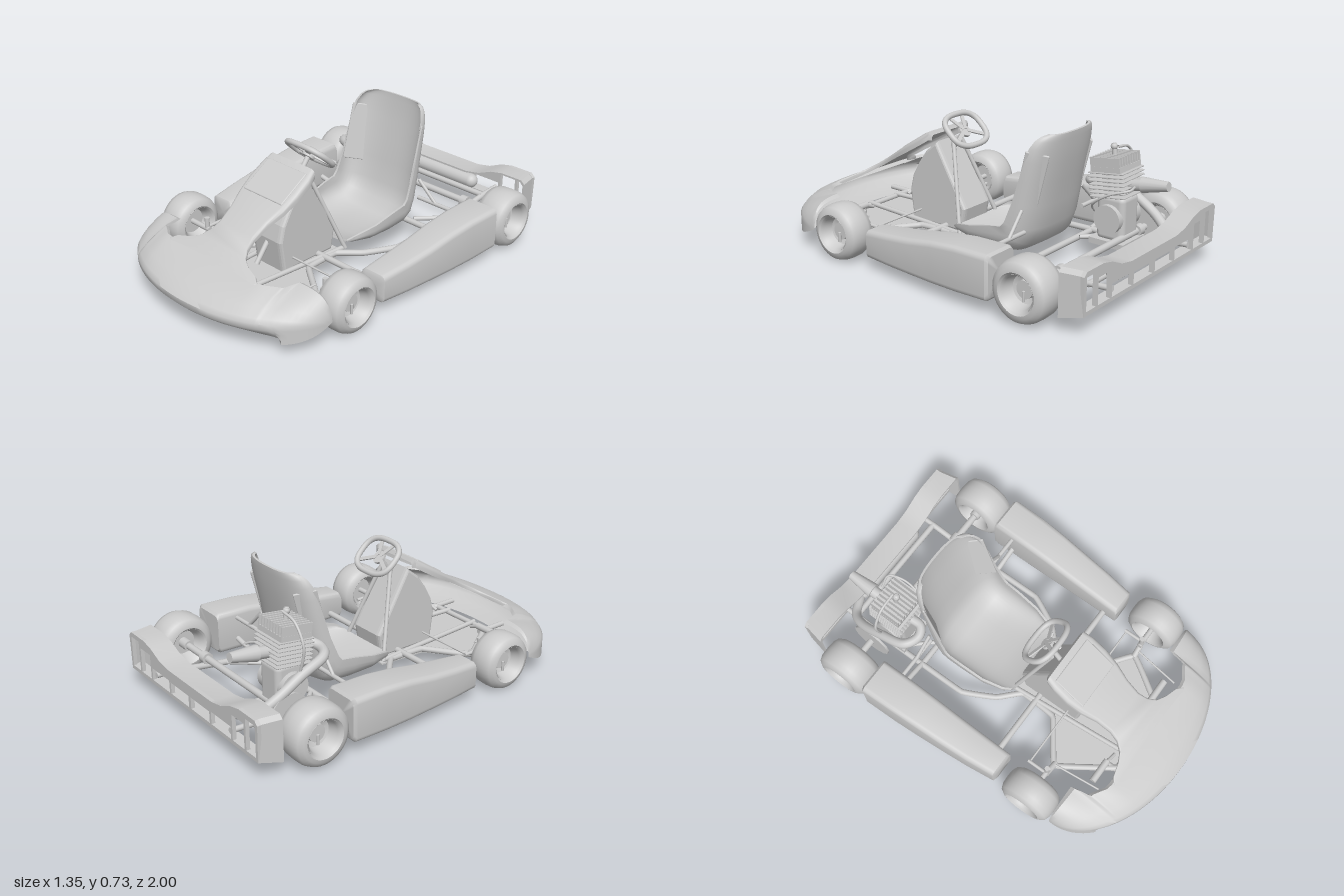
import * as THREE from 'three';
import { toCreasedNormals } from 'three/addons/utils/BufferGeometryUtils.js';
import { RoundedBoxGeometry } from 'three/addons/geometries/RoundedBoxGeometry.js';

const mat = new THREE.MeshStandardMaterial({ color: 0xcccccc });
const shellMat = new THREE.MeshStandardMaterial({ color: 0xcccccc, side: THREE.DoubleSide });
const V = (x, y, z) => new THREE.Vector3(x, y, z);
const P = pts => pts.map(p => new THREE.Vector2(...p));
const smooth = THREE.MathUtils.smoothstep;

export function createModel() {
  const kart = new THREE.Group();
  kart.name = 'goKart';
  const add = (name, geo, pos = [0, 0, 0], rot = [0, 0, 0], parent = kart, m = mat) => {
    const mesh = new THREE.Mesh(geo, m);
    mesh.name = name;
    mesh.position.set(...pos);
    mesh.rotation.set(...rot);
    parent.add(mesh);
    return mesh;
  };
  const group = (name, pos, rot = [0, 0, 0], parent = kart) => {
    const g = new THREE.Group();
    g.name = name;
    g.position.set(...pos);
    g.rotation.set(...rot);
    parent.add(g);
    return g;
  };
  // straight capped bar between two points
  const rod = (name, a, b, r, r2 = r) => {
    const p = V(...a), d = V(...b).sub(p);
    const mesh = add(name, new THREE.CylinderGeometry(r2, r, d.length(), 14));
    mesh.position.copy(p).addScaledVector(d, 0.5);
    mesh.quaternion.setFromUnitVectors(V(0, 1, 0), d.normalize());
  };
  // bent pipe through points
  const pipe = (name, pts, r, tension) => {
    const curve = new THREE.CatmullRomCurve3(pts.map(p => V(...p)), false, 'catmullrom', tension);
    add(name, new THREE.TubeGeometry(curve, pts.length * 10, r, 12), undefined, undefined, kart, shellMat);
  };
  // surface through rows of points; closed rows wrap round
  const loft = (name, rows, closed, crease = 0.7) => {
    const n = rows[0].length, idx = [];
    for (let i = 0; i < rows.length - 1; i++)
      for (let j = 0; j < (closed ? n : n - 1); j++) {
        const a = i * n + j, b = i * n + (j + 1) % n;
        idx.push(a, b, a + n, b, b + n, a + n);
      }
    const geo = new THREE.BufferGeometry().setFromPoints(rows.flat());
    geo.setIndex(idx);
    add(name, toCreasedNormals(geo, crease), undefined, undefined, kart, shellMat);
  };
  // rounded rectangle section at depth z
  const section = (z, x0, x1, y0, y1, r) =>
    [[x1 - r, y1 - r], [x0 + r, y1 - r], [x0 + r, y0 + r], [x1 - r, y0 + r]].flatMap(([cx, cy], q) => [0, 1, 2, 3, 4].map(k => {
      const a = (q + k / 4) * Math.PI / 2;
      return V(cx + r * Math.cos(a), cy + r * Math.sin(a), z);
    }));
  const collapse = row => {
    const c = row.reduce((s, p) => s.add(p), V(0, 0, 0)).divideScalar(row.length);
    return row.map(() => c.clone());
  };

  // wheels: tyre and dished rim turned about the axle
  const wheel = (name, s, y, z, R, c, cx) => {
    const g = group(name, [s * cx, y, z], [0, 0, -s * Math.PI / 2]);
    const turned = (part, pts) => add(part, toCreasedNormals(new THREE.LatheGeometry(P(pts), 40), 0.8), undefined, undefined, g, shellMat);
    turned('tyre', [[0.088, -c + 0.012], [0.1, -c], [R - 0.035, -c + 0.003], [R - 0.012, -c + 0.018], [R - 0.002, -c + 0.045], [R, 0],
      [R - 0.002, c - 0.045], [R - 0.012, c - 0.018], [R - 0.035, c - 0.003], [0.1, c], [0.088, c - 0.012]]);
    turned('rim', [[0, -0.02], [0.065, -0.02], [0.075, -c + 0.03], [0.09, -c + 0.008], [0.092, 0], [0.09, c - 0.008],
      [0.08, c - 0.02], [0.07, 0.015], [0.045, 0.005], [0.043, 0.025], [0, 0.025]]);
    add('valve', new THREE.CylinderGeometry(0.007, 0.007, 0.05, 8), [s * 0.03, 0.03, 0], [0, 0, Math.PI / 2], g);
  };

  for (const s of [1, -1]) {
    wheel('frontWheel', s, 0.147, 0.455, 0.147, 0.082, 0.572);
    wheel('rearWheel', s, 0.16, -0.71, 0.153, 0.09, 0.583);
    // side pod
    const pod = [[0.258, 0.605, 0.07, 0.192], [0.25, 0.62, 0.06, 0.205], [0.1, 0.638, 0.06, 0.225], [-0.05, 0.65, 0.06, 0.245],
      [-0.2, 0.66, 0.06, 0.273], [-0.35, 0.668, 0.063, 0.29], [-0.535, 0.672, 0.07, 0.295], [-0.548, 0.66, 0.085, 0.283]];
    const rows = pod.map(([z, x1, y0, y1]) => section(z, 0.475, x1, y0, y1, 0.028).map(p => V(p.x * s, p.y, p.z)));
    loft('sidePod', [collapse(rows[0]), ...rows, collapse(rows.at(-1))], true);
    // frame rails, stays, brackets and front suspension
    const m = pts => pts.map(([x, y, z]) => [x * s, y, z]);
    pipe('frameRail', m([[0.335, 0.14, -0.87], [0.335, 0.1, -0.6], [0.335, 0.09, -0.17], [0.25, 0.09, 0], [0.15, 0.09, 0.1],
      [0.16, 0.09, 0.3], [0.37, 0.09, 0.46], [0.19, 0.09, 0.73]]), 0.016, 0.1);
    const bars = [['seatStay', [0.25, 0.36, -0.42], [0.36, 0.25, -0.43], 0.009], ['podArm', [0.24, 0.25, -0.43], [0.48, 0.25, -0.43], 0.011],
      ['podBrace', [0.335, 0.1, -0.43], [0.48, 0.13, -0.43], 0.014], ['rearDiagonal', [0.2, 0.1, -0.45], [0.335, 0.1, -0.6], 0.012],
      ['innerRail', [0.15, 0.1, 0.05], [0.1, 0.1, 0.74], 0.013], ['steeringSupport', [0.03, 0.55, 0.19], [0.16, 0.1, 0.04], 0.011],
      ['pedalBar', [0.2, 0.13, 0.67], [0.33, 0.13, 0.67], 0.018], ['pedalStay', [0.14, 0.1, 0.68], [0.21, 0.13, 0.67], 0.009],
      ['noseMount', [0.2, 0.09, 0.68], [0.2, 0.09, 0.86], 0.014], ['brakeRod', [0.38, 0.16, 0.47], [0.35, 0.14, 0.72], 0.005],
      ['tieRod', [0, 0.15, 0.355], [0.44, 0.15, 0.355], 0.005], ['steeringArm', [0.44, 0.15, 0.345], [0.44, 0.15, 0.455], 0.009],
      ['stubAxle', [0.41, 0.147, 0.455], [0.56, 0.147, 0.455], 0.014], ['kingpin', [0.43, 0.09, 0.455], [0.43, 0.21, 0.455], 0.013],
      ['kingpinYoke', [0.36, 0.1, 0.46], [0.43, 0.12, 0.455], 0.016], ['axleHub', [0.5, 0.16, -0.71], [0.56, 0.16, -0.71], 0.028],
      ['bearing', [0.315, 0.16, -0.71], [0.355, 0.16, -0.71], 0.03], ['bumperMount', [0.335, 0.14, -0.85], [0.335, 0.15, -0.99], 0.014]];
    for (const [name, a, b, r] of bars) rod(name, ...m([a, b]), r);
    // seat side pad
    add('seatPad', new RoundedBoxGeometry(0.115, 0.31, 0.012, 2, 0.005), [s * 0.208, 0.49, -0.44], [-0.25, -s * 0.95, 0]);
  }

  // cross members, rear axle and sprocket
  for (const [name, x, y, z, r] of [['frontCrossBar', 0.48, 0.1, 0.18, 0.016], ['middleCrossBar', 0.335, 0.09, -0.43, 0.016],
    ['rearCrossBar', 0.335, 0.14, -0.87, 0.016], ['noseCrossBar', 0.2, 0.09, 0.73, 0.014], ['rearAxle', 0.55, 0.16, -0.71, 0.018]])
    rod(name, [-x, y, z], [x, y, z], r);
  rod('sprocket', [-0.406, 0.16, -0.71], [-0.394, 0.16, -0.71], 0.11);

  // floor pan
  const half = [[0.15, 0.04], [0.17, 0.3], [0.36, 0.46], [0.19, 0.76]];
  const pan = new THREE.Shape(P([...half, ...half.map(([x, z]) => [-x, z]).reverse()]));
  add('floorPan', new THREE.ExtrudeGeometry(pan, { depth: 0.008, bevelEnabled: false }), [0, 0.08, 0], [Math.PI / 2, 0, 0]);

  // front fairing: open shell of lengthwise sections swept across the width, with square inner ends
  const stations = [0.425, 0.43, 0.436, 0.445];
  for (let i = 1; i <= 24; i++) stations.push(0.63 * Math.sin(i / 24 * Math.PI / 2));
  stations.sort((a, b) => a - b);
  loft('frontFairing', [...stations.map(x => -x).reverse(), 0, ...stations].map(x => {
    const w = Math.abs(x), u = Math.min(1, w / 0.63), zf = 0.61 + 0.39 * Math.sqrt(1 - u * u);
    const zb = Math.min(zf, 0.755 - 0.05 * smooth(w, 0.33, 0.43) - 0.095 * smooth(w, 0.425, 0.445));
    const d = zf - zb, k = Math.sqrt(1 - u ** 14), chin = Math.sqrt(Math.max(0, 1 - (w / 0.52) ** 6));
    return [[0, 0.165, 0.058], [0, 0.065, 0.08], [0, 0.02, 0.11], [0, 0, 0.132], [0, 0, 0.16], [0.08, 0, 0.18], [0.3, 0, 0.212], [0.65, 0, 0.247],
      [0.92, 0, 0.268], [1, 0, 0.255]].map(([f, c, y]) => V(x, 0.13 + (y - 0.13) * k, zf - Math.min(d, f * d + c * chin)));
  }), false, 0.75);

  // upright front panel, an open shell flaring into the fairing: z, top y, thickness, half width
  const panel = [[0.238, 0.585, 0.04, 0.14], [0.25, 0.605, 0.07, 0.157], [0.3, 0.575, 0.075, 0.168], [0.38, 0.524, 0.07, 0.17], [0.46, 0.473, 0.06, 0.158],
    [0.54, 0.422, 0.05, 0.134], [0.62, 0.37, 0.045, 0.126], [0.67, 0.338, 0.04, 0.138], [0.71, 0.312, 0.04, 0.17],
    [0.735, 0.295, 0.04, 0.22], [0.755, 0.282, 0.04, 0.29], [0.78, 0.266, 0.035, 0.32], [0.84, 0.232, 0.03, 0.28]];
  loft('frontPanel', panel.map(([z, y, t, w]) => {
    const ring = section(z, -w, w, y - t, y, t * 0.35);
    return [ring[19], ...ring.slice(0, 11)];
  }), false, 0.8);
  add('panelPlate', new RoundedBoxGeometry(0.27, 0.012, 0.2, 3, 0.006), [0, 0.532, 0.365], [0.567, 0, 0]);

  // tank and leg fairing under the steering wheel
  const tank = new THREE.Shape(P([[-0.25, 0.52], [-0.07, 0.21], [-0.09, 0.1], [-0.4, 0.1], [-0.42, 0.25], [-0.4, 0.33], [-0.36, 0.4], [-0.31, 0.47]]));
  add('tankFairing', new THREE.ExtrudeGeometry(tank, { depth: 0.16, bevelThickness: 0.025, bevelSize: 0.015, bevelSegments: 3 }),
    [-0.08, 0, 0], [0, Math.PI / 2, 0]);

  // steering wheel and column
  const steering = group('steeringWheel', [0, 0.607, 0.13], [-0.75, 0, 0]), rimPts = [];
  for (let i = 0; i < 32; i++) {
    const a = i / 32 * Math.PI * 2, e = v => Math.sign(v) * Math.abs(v) ** 0.72;
    rimPts.push(V(0.125 * e(Math.cos(a)), 0, 0.098 * e(Math.sin(a))));
  }
  add('rim', new THREE.TubeGeometry(new THREE.CatmullRomCurve3(rimPts, true), 64, 0.015, 12, true), undefined, undefined, steering);
  add('hub', new THREE.CylinderGeometry(0.035, 0.035, 0.014, 20), [0, -0.015, 0], undefined, steering);
  for (const a of [0.5, Math.PI - 0.5, -Math.PI / 2 + 0.45, -Math.PI / 2 - 0.45])
    add('spoke', new THREE.BoxGeometry(0.1, 0.007, 0.02), [Math.cos(a) * 0.066, -0.008, -Math.sin(a) * 0.058], [0, a, 0], steering);
  rod('steeringColumn', [0, 0.6, 0.137], [0, 0.13, 0.5], 0.013);

  // bucket seat, boxy base and rounder back: path z, y, half width, wall height
  const seat = [[0.06, 0.14, 0.19, 0.02], [0.03, 0.125, 0.22, 0.06], [-0.08, 0.1, 0.25, 0.11], [-0.22, 0.09, 0.258, 0.15], [-0.34, 0.1, 0.26, 0.16],
    [-0.42, 0.15, 0.26, 0.16], [-0.455, 0.24, 0.26, 0.14], [-0.48, 0.36, 0.254, 0.12], [-0.505, 0.48, 0.248, 0.11], [-0.528, 0.58, 0.242, 0.105],
    [-0.54, 0.65, 0.233, 0.095], [-0.546, 0.69, 0.215, 0.08], [-0.549, 0.712, 0.195, 0.065], [-0.55, 0.724, 0.165, 0.05]];
  const seatRows = inset => seat.map(([z, y, w, h], i) => {
    const a = seat[Math.max(0, i - 1)], b = seat[Math.min(seat.length - 1, i + 1)];
    const n = V(0, a[0] - b[0], b[1] - a[1]).normalize(), e = 0.65 + 0.2 * smooth(i, 4, 9), row = [];
    for (let j = 0; j <= 24; j++) {
      const t = (j / 12 - 1) * Math.PI / 2, sn = Math.sin(t);
      const lift = inset + (h - inset) * (1 - Math.max(0, Math.cos(t)) ** e);
      row.push(V((w - inset) * Math.sign(sn) * Math.abs(sn) ** e, y + n.y * lift, z + n.z * lift));
    }
    return row;
  });
  const inner = seatRows(0.012), outer = seatRows(0);
  loft('seat', outer.map((r, i) => [...r, ...inner[i].slice().reverse()]), true, 0.9);
  loft('seatTopEdge', [outer.at(-1), inner.at(-1)], false);

  // rear bumper: windowed back face, wavy top flange, end cheeks and bottom rail
  const top = [[0.575, 0.285], [0.555, 0.305], [0.43, 0.305], [0.36, 0.29], [0.28, 0.255], [0.2, 0.24]];
  const topLine = [...top, ...top.map(([x, y]) => [-x, y]).reverse()];
  const face = new THREE.Shape(P([[-0.57, 0.1], [0.57, 0.1], ...topLine]));
  for (const [x0, x1, y1] of [[0.48, 0.555, 0.28], [0.37, 0.465, 0.25], [0.19, 0.355, 0.185], [0.01, 0.175, 0.18]])
    for (const [a, b] of [[x0, x1], [-x1, -x0]])
      face.holes.push(new THREE.Path(P([[a, 0.12], [a, y1], [b, y1], [b, 0.12]])));
  add('rearBumperFace', new THREE.ExtrudeGeometry(face, { depth: 0.02, bevelEnabled: false }), [0, 0, -1]);
  const hoodRow = (z, wide, drop, t) => [[0.575, 0.1], ...topLine, [-0.575, 0.1]]
    .map(([x, y]) => V(x * wide - Math.sign(x) * t, y < 0.11 ? y - drop : y - t, z));
  loft('rearBumperHood', [hoodRow(-0.99, 0.995, 0, 0.01), hoodRow(-0.88, 1.03, 0.03, 0.01), hoodRow(-0.88, 1.03, 0.03, 0), hoodRow(-1, 0.99, 0, 0)], false);
  add('rearBumperRail', new THREE.BoxGeometry(1.14, 0.02, 0.05), [0, 0.11, -0.965]);

  // engine: crankcase, finned barrel, finned head, plug and air filter
  const engine = group('engine', [-0.245, 0, -0.64]);
  add('engineMount', new THREE.BoxGeometry(0.2, 0.03, 0.2), [0, 0.125, 0], undefined, engine);
  add('crankcase', new RoundedBoxGeometry(0.15, 0.24, 0.16, 3, 0.03), [0, 0.25, 0], undefined, engine);
  add('crankCover', new THREE.CylinderGeometry(0.075, 0.075, 0.2, 24), [0, 0.25, 0], [0, 0, Math.PI / 2], engine);
  const barrel = group('barrel', [0, 0.35, 0], [0.13, 0, 0], engine);
  add('cylinder', new THREE.CylinderGeometry(0.07, 0.07, 0.17, 24), [0, 0.085, 0], undefined, barrel);
  for (let i = 0; i < 7; i++)
    add('barrelFin', new RoundedBoxGeometry(0.2, 0.008, 0.2, 1, 0.003), [0, 0.015 + i * 0.02, 0], undefined, barrel);
  add('headBase', new THREE.BoxGeometry(0.19, 0.03, 0.17), [0, 0.15, 0], undefined, barrel);
  for (let i = 0; i < 9; i++)
    add('headFin', new THREE.BoxGeometry(0.008, 0.075, 0.17), [-0.09 + i * 0.0225, 0.175, 0], undefined, barrel);
  add('sparkPlug', new THREE.CylinderGeometry(0.012, 0.014, 0.08, 10), [0, 0.225, 0], undefined, barrel);
  add('plugCap', new THREE.SphereGeometry(0.018, 12, 8), [0, 0.25, 0], undefined, barrel);
  rod('carburettor', [-0.245, 0.42, -0.7], [-0.245, 0.435, -0.79], 0.03);
  rod('airFilter', [-0.245, 0.435, -0.78], [-0.245, 0.455, -0.92], 0.04, 0.024);

  // exhaust, silencer and hoses
  pipe('exhaustPipe', [[-0.245, 0.41, -0.55], [-0.245, 0.4, -0.48], [-0.3, 0.385, -0.455], [-0.37, 0.375, -0.5], [-0.385, 0.33, -0.63],
    [-0.38, 0.25, -0.77], [-0.34, 0.19, -0.86], [-0.25, 0.17, -0.91]], 0.025, 0.5);
  add('silencer', new THREE.CapsuleGeometry(0.04, 0.42, 6, 20), [0, 0.17, -0.92], [0, 0, Math.PI / 2]);
  pipe('plugLead', [[-0.245, 0.6, -0.63], [-0.34, 0.58, -0.63], [-0.4, 0.5, -0.63], [-0.4, 0.42, -0.63], [-0.36, 0.28, -0.64]], 0.007, 0.5);
  pipe('fuelHose', [[-0.2, 0.43, -0.76], [-0.13, 0.43, -0.77], [-0.095, 0.4, -0.68], [-0.11, 0.33, -0.58], [-0.18, 0.26, -0.56]], 0.006, 0.5);
  return kart;
}
